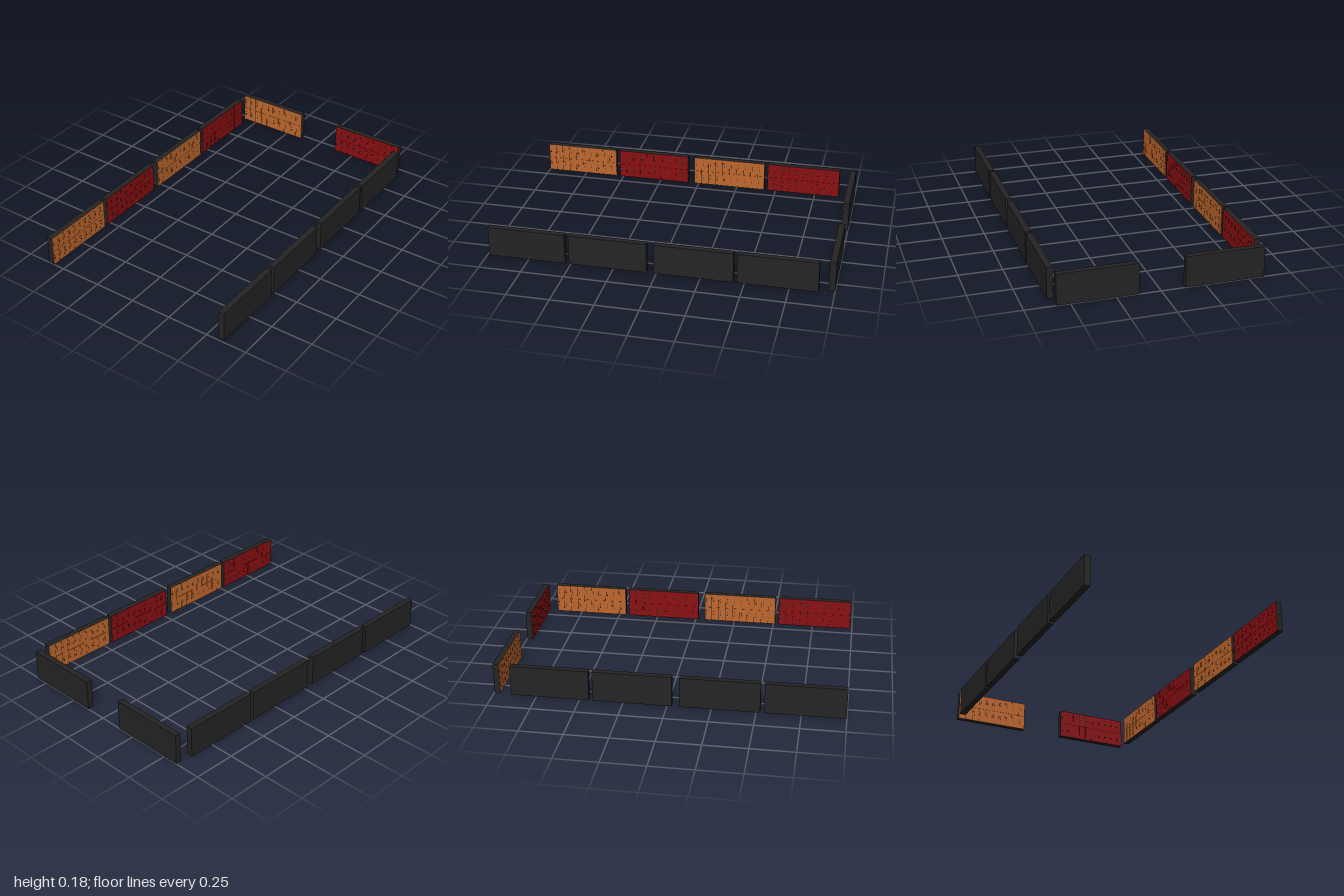
import * as THREE from 'three';

const mat = (name, color) => {
  const m = new THREE.MeshStandardMaterial({ color });
  m.name = name;
  return m;
};

const LENGTH = 0.453, HEIGHT = 0.18, BODY = 0.0345, DOOR = 0.0015;
const COLUMNS = 10, ROWS = 2;

export function createModel() {
  const charcoal = mat('charcoal', 0x242424);
  const orange = mat('orange', 0xc0672d);
  const red = mat('red', 0x8b0e11);
  const steel = mat('steel', 0x5c6668);

  const box = (parent, name, material, w, h, d, x, y, z) => {
    const mesh = new THREE.Mesh(new THREE.BoxGeometry(w, h, d), material);
    mesh.name = name;
    mesh.position.set(x, y, z);
    parent.add(mesh);
  };

  // One bank of lockers, back at z = 0, doors facing +z
  function lockerBank(color) {
    const bank = new THREE.Group();
    bank.name = 'lockerBank';
    box(bank, 'cabinet', charcoal, LENGTH, HEIGHT, BODY, 0, HEIGHT / 2, BODY / 2);

    const cw = LENGTH / COLUMNS, ch = HEIGHT / ROWS;
    const face = BODY + DOOR;
    for (let c = 0; c < COLUMNS; c++) {
      // the first few seams are wider than the rest
      const gap = c < 4 ? 0.0024 : 0.0009;
      const left = -LENGTH / 2 + c * cw;
      for (let r = 0; r < ROWS; r++) {
        const bottom = r * ch;
        box(bank, 'door', color, cw - gap, ch - 0.0012, DOOR,
          left + cw / 2, bottom + ch / 2, BODY + DOOR / 2);
        // latch, number plate and handle beside the door's edge
        box(bank, 'latch', charcoal, 0.005, 0.003, 0.001,
          left + 0.011, bottom + 0.062, face + 0.0005);
        box(bank, 'numberPlate', steel, 0.003, 0.006, 0.0006,
          left + 0.011, bottom + 0.055, face + 0.0003);
        box(bank, 'handle', charcoal, 0.004, 0.011, 0.0015,
          left + 0.012, bottom + 0.042, face + 0.0007);
      }
    }
    return bank;
  }

  const model = new THREE.Group();
  model.name = 'lockerRoom';
  const place = (color, x, z, turn) => {
    const bank = lockerBank(color);
    bank.position.set(x, 0, z);
    bank.rotation.y = turn;
    model.add(bank);
  };

  // Side walls face inward, listed from back to front
  [-0.673, -0.199, 0.296, 0.772].forEach((z, i) => {
    place(i % 2 ? orange : red, -0.605, z, Math.PI / 2);
    place(i % 2 ? red : orange, 0.605, z - 0.012, -Math.PI / 2);
  });

  // Back wall
  place(orange, -0.364, -1, 0);
  place(red, 0.35, -1, 0);
  return model;
}
